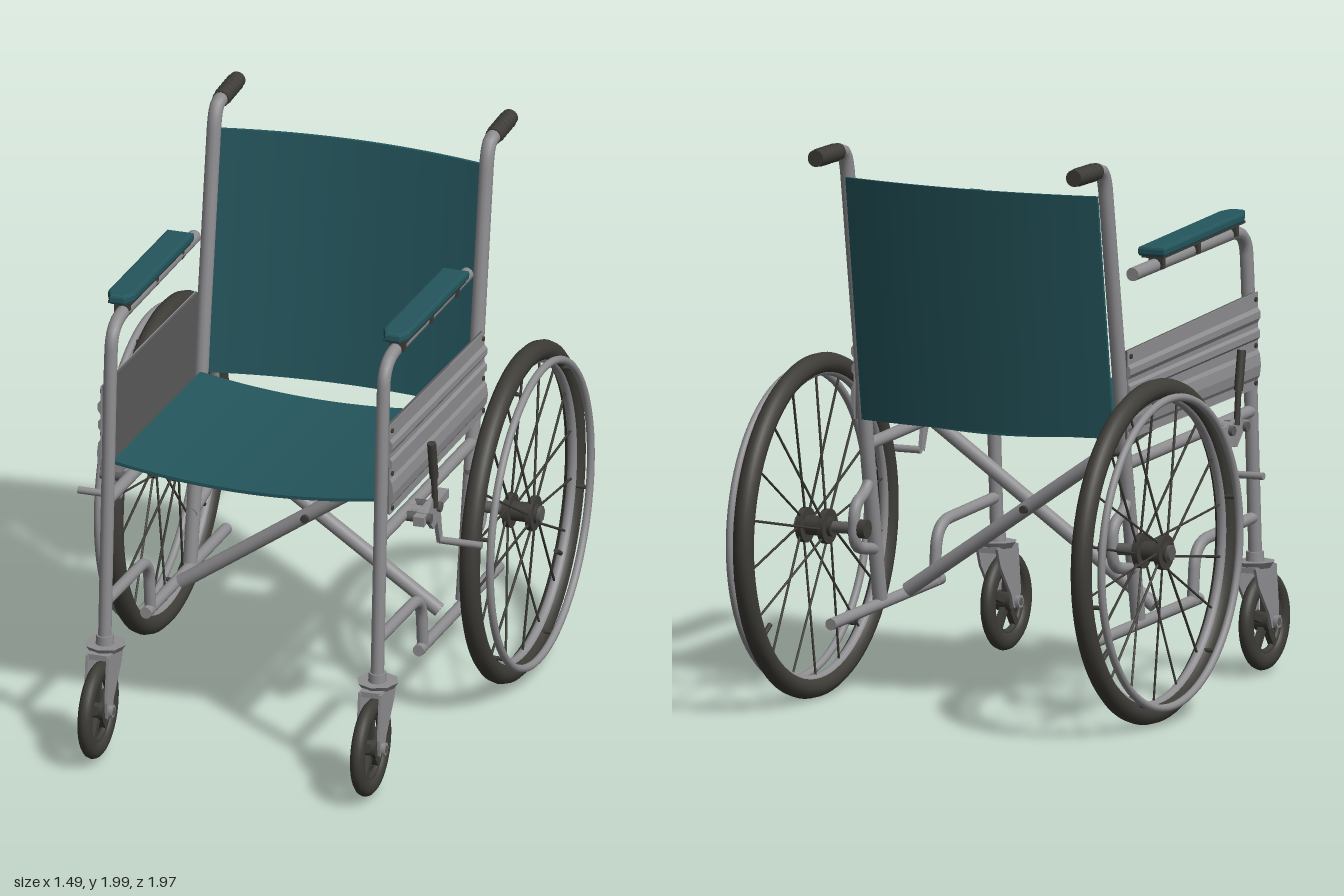
import * as THREE from 'three';

const mat = (name, color) => Object.assign(new THREE.MeshStandardMaterial({ color }), { name });

export function createModel() {
  const root = new THREE.Group();
  root.name = 'wheelchair';
  const fabric = mat('teal upholstery', 0x24565d);
  const metal = mat('grey metal', 0x8e8d90);
  const rubber = mat('dark rubber', 0x3d3c37);
  const lining = mat('dark grey lining', 0x5c5c5c);
  const V = (x, y, z) => new THREE.Vector3(x, y, z);

  const add = (parent, name, geo, material, x = 0, y = 0, z = 0) => {
    const m = new THREE.Mesh(geo, material);
    m.name = name;
    m.position.set(x, y, z);
    parent.add(m);
    return m;
  };
  const group = (name, x = 0, y = 0, z = 0) => {
    const g = new THREE.Group();
    g.name = name;
    g.position.set(x, y, z);
    root.add(g);
    return g;
  };
  // Straight capped rod between two points
  const rod = (parent, name, a, b, r, material, sides = 14) => {
    const m = add(parent, name, new THREE.CylinderGeometry(r, r, a.distanceTo(b), sides), material);
    m.position.copy(a).lerp(b, 0.5);
    m.quaternion.setFromUnitVectors(V(0, 1, 0), b.clone().sub(a).normalize());
    return m;
  };
  // Tube in the side plane through [z, y] corners, with rounded bends
  const pipe = (parent, name, x, pts, r, bend, material) => {
    const p = pts.map(([z, y]) => V(x, y, z));
    const path = new THREE.CurvePath();
    let from = p[0];
    for (let i = 1; i < p.length - 1; i++) {
      const toward = (q) => p[i].clone().add(
        q.clone().sub(p[i]).setLength(Math.min(bend, q.distanceTo(p[i]) * 0.45)));
      const a = toward(p[i - 1]), b = toward(p[i + 1]);
      path.add(new THREE.LineCurve3(from, a));
      path.add(new THREE.QuadraticBezierCurve3(a, p[i], b));
      from = b;
    }
    path.add(new THREE.LineCurve3(from, p[p.length - 1]));
    add(parent, name, new THREE.TubeGeometry(path, 72, r, 12), material);
    const end = p[p.length - 1], dir = end.clone().sub(from).setLength(0.006);
    rod(parent, name + 'End', end.clone().sub(dir), end.clone().add(dir), r, material);
  };
  // Flat plate with a [z, y] outline, centred on its own x
  const plate = (pts, depth) => {
    const shape = new THREE.Shape(pts.map(([z, y]) => new THREE.Vector2(z, y)));
    return new THREE.ExtrudeGeometry(shape, { depth, bevelEnabled: false })
      .rotateY(-Math.PI / 2).translate(depth / 2, 0, 0);
  };
  const ring = (R, r, seg = 64) => new THREE.TorusGeometry(R, r, 12, seg).rotateY(Math.PI / 2);
  const disc = (r, w, sides = 24) => new THREE.CylinderGeometry(r, r, w, sides).rotateZ(Math.PI / 2);
  // Thin cloth sheet, bent by a rule (u: -1..1 across, v: 0..1 along, t: thickness)
  const sheet = (name, rule) => {
    const geo = new THREE.BoxGeometry(2, 1, 0.012, 20, 4, 1);
    const pos = geo.attributes.position;
    for (let i = 0; i < pos.count; i++) {
      pos.setXYZ(i, ...rule(pos.getX(i), pos.getY(i) + 0.5, pos.getZ(i)));
    }
    geo.computeVertexNormals();
    add(root, name, geo, fabric);
  };

  // Slung seat and backrest
  sheet('seat', (u, v, t) => [u * 0.5, 1.075 - 0.055 * v - 0.045 * (1 - u * u) + t, 0.665 - 0.945 * v]);
  sheet('backrest', (u, v, t) =>
    [u * 0.49, 1.0 + 0.875 * v, -0.345 - 0.13 * v - 0.055 * (1 - u * u) + t]);

  // Folding cross brace
  const brace = group('crossBrace');
  rod(brace, 'braceFront', V(-0.467, 0.355, 0.025), V(0.48, 1.01, 0.025), 0.026, metal);
  rod(brace, 'braceRear', V(0.467, 0.355, -0.035), V(-0.48, 1.01, -0.035), 0.026, metal);
  rod(brace, 'bracePivot', V(0, 0.675, -0.075), V(0, 0.675, 0.065), 0.014, rubber);

  const X = 0.503;
  for (const s of [1, -1]) {
    const side = s > 0 ? 'left' : 'right';
    const x = s * X;

    // Side frame
    const frame = group(side + 'Frame');
    pipe(frame, 'backPost', x, [[-0.18, 0.34], [-0.285, 0.9], [-0.325, 1.2], [-0.45, 1.97], [-0.54, 1.97]],
      0.026, 0.09, metal);
    pipe(frame, 'frontPostAndArm', x, [[0.745, 0.4], [0.685, 1.4], [0.665, 1.605], [-0.22, 1.565]],
      0.024, 0.13, metal);
    pipe(frame, 'lowerFrontTube', x, [[0.72, 0.57], [0.27, 0.545], [0.25, 0.34]], 0.021, 0.1, metal);
    pipe(frame, 'axleBracket', x, [[-0.25, 0.82], [-0.28, 0.74], [-0.385, 0.7], [-0.385, 0.55], [-0.2, 0.52]],
      0.021, 0.06, metal);
    rod(frame, 'bottomRail', V(x, 0.345, 0.3), V(x, 0.305, -0.57), 0.021, metal);
    rod(frame, 'middleRail', V(x, 0.95, 0.71), V(x, 0.9, -0.28), 0.022, metal);
    rod(frame, 'seatRail', V(s * 0.48, 1.055, 0.66), V(s * 0.48, 1.0, -0.27), 0.018, metal);
    rod(frame, 'handGrip', V(x, 1.97, -0.51), V(x, 1.97, -0.69), 0.03, rubber, 18);
    for (let i = 0; i < 5; i++) {
      add(frame, 'gripRib', new THREE.TorusGeometry(0.028, 0.005, 6, 18), rubber, x, 1.97, -0.54 - i * 0.03);
    }

    // Ribbed side panel with a lining and rivets
    const panel = group(side + 'SidePanel');
    const bottom = (z) => 1.008 + 0.039 * z, top = (z) => 1.33 + 0.064 * z;
    const profile = [[0.53, 0], [0.534, 0], [0.534, 0.09], [0.542, 0.13], [0.547, 0.24], [0.542, 0.36],
      [0.534, 0.4], [0.534, 0.5], [0.543, 0.53], [0.543, 0.6], [0.534, 0.63], [0.534, 0.68],
      [0.544, 0.73], [0.544, 0.8], [0.534, 0.84], [0.534, 1], [0.53, 1]];
    const ribs = new THREE.ExtrudeGeometry(
      new THREE.Shape(profile.map(([px, v]) => new THREE.Vector2(s * px, v))),
      { depth: 1.025, bevelEnabled: false }).translate(0, 0, -0.325);
    const pos = ribs.attributes.position;
    for (let i = 0; i < pos.count; i++) {
      const z = pos.getZ(i);
      pos.setY(i, THREE.MathUtils.lerp(bottom(z), top(z), pos.getY(i)));
    }
    ribs.computeVertexNormals();
    add(panel, 'ribbedPanel', ribs, metal);
    add(panel, 'panelLining', plate([[0.69, bottom(0.69)], [0.69, top(0.69)],
      [-0.32, top(-0.32)], [-0.32, bottom(-0.32)]], 0.008), lining, s * 0.525);
    for (const z of [0.68, -0.305]) for (const v of [0.06, 0.45, 0.93]) {
      add(panel, 'rivet', disc(0.009, 0.012, 8), rubber, s * 0.534,
        THREE.MathUtils.lerp(bottom(z), top(z), v), z);
    }

    // Padded armrest
    const arm = group(side + 'Armrest', s * 0.508, 1.642, 0.255);
    arm.rotation.x = -0.055;
    const plan = new THREE.Shape([[-0.04, -0.335], [0.04, -0.335], [0.04, 0.29], [0.02, 0.335],
      [-0.02, 0.335], [-0.04, 0.29]].map(([a, b]) => new THREE.Vector2(a, b)));
    add(arm, 'armPad', new THREE.ExtrudeGeometry(plan,
      { depth: 0.016, bevelThickness: 0.01, bevelSize: 0.01, bevelSegments: 2 })
      .rotateX(Math.PI / 2), fabric, 0, 0.01, 0);
    add(arm, 'armPadBase', new THREE.BoxGeometry(0.085, 0.008, 0.65), rubber, 0, -0.018, -0.01);
    for (const z of [0.28, -0.02, -0.3]) {
      add(arm, 'armClip', new THREE.BoxGeometry(0.056, 0.05, 0.022), rubber, 0, -0.04, z);
    }

    // Large rear wheel with hand rim
    const wheel = group(side + 'RearWheel', s * 0.658, 0.617, -0.373);
    add(wheel, 'tyre', ring(0.571, 0.037, 80), rubber);
    add(wheel, 'rim', ring(0.545, 0.019, 80), metal);
    add(wheel, 'handRim', ring(0.545, 0.014, 80), metal, s * 0.066);
    add(wheel, 'hub', disc(0.035, 0.13), rubber, s * -0.005);
    for (const o of [-0.045, 0.04]) add(wheel, 'hubFlange', disc(0.062, 0.022), rubber, s * o);
    add(wheel, 'hubCap', disc(0.03, 0.03, 6), lining, s * 0.058);
    for (let i = 0; i < 18; i++) {
      const a = (i / 18) * Math.PI * 2, b = a + (i % 2 ? 0.25 : -0.25);
      rod(wheel, 'spoke', V(s * (i % 2 ? 0.04 : -0.045), 0.05 * Math.cos(b), 0.05 * Math.sin(b)),
        V(0, 0.535 * Math.cos(a), 0.535 * Math.sin(a)), 0.0045, rubber, 6);
    }
    for (let i = 0; i < 6; i++) {
      const a = (i / 6) * Math.PI * 2 + 0.3, y = 0.545 * Math.cos(a), z = 0.545 * Math.sin(a);
      rod(wheel, 'rimStandoff', V(0, y, z), V(s * 0.066, y, z), 0.008, rubber, 8);
    }
    rod(wheel, 'valve', V(0, -0.33, -0.41), V(0, -0.3, -0.36), 0.009, rubber, 8);
    add(wheel, 'axle', disc(0.021, 0.16), lining, s * -0.11);
    add(wheel, 'axleNut', disc(0.034, 0.028, 12), rubber, s * -0.188);

    // Front caster
    const caster = group(side + 'Caster', x, 0.193, 0.815);
    add(caster, 'casterTyre', ring(0.143, 0.032, 40), rubber).scale.x = 0.8;
    add(caster, 'casterRim', ring(0.112, 0.012, 40), rubber);
    add(caster, 'casterHub', disc(0.036, 0.056), rubber);
    add(caster, 'casterAxle', disc(0.014, 0.12, 10), lining);
    for (const o of [-0.05, 0.05]) add(caster, 'casterNut', disc(0.024, 0.016, 6), metal, o);
    for (let i = 0; i < 5; i++) {
      const a = (i / 5) * Math.PI * 2;
      add(caster, 'casterSpoke', new THREE.BoxGeometry(0.022, 0.085, 0.028), rubber,
        0, 0.07 * Math.cos(a), 0.07 * Math.sin(a)).rotation.x = a;
    }
    const cheek = [[0.01, 0.205], [-0.155, 0.205], [-0.13, 0.14], [-0.045, 0.03], [-0.025, -0.02],
      [0.022, -0.02], [0.03, 0.04]];
    for (const o of [-0.038, 0.038]) add(caster, 'forkCheek', plate(cheek, 0.01), metal, o);
    add(caster, 'forkCrown', new THREE.BoxGeometry(0.08, 0.02, 0.15), metal, 0, 0.198, -0.072);
    add(caster, 'forkFlange', new THREE.CylinderGeometry(0.075, 0.06, 0.022, 8), metal, 0, 0.212, -0.078);
    add(caster, 'forkStem', new THREE.CylinderGeometry(0.031, 0.033, 0.04, 16), metal, 0, 0.236, -0.074);

    // Parking brake
    const brake = group(side + 'Brake');
    add(brake, 'brakePlate', plate([[0.48, 0.945], [0.42, 0.99], [0.37, 0.955], [0.33, 0.9], [0.31, 0.79],
      [0.335, 0.785], [0.37, 0.88], [0.41, 0.87], [0.45, 0.91]], 0.014), metal, s * 0.59);
    add(brake, 'brakeMount', new THREE.BoxGeometry(0.04, 0.035, 0.27), metal, s * 0.575, 0.935, 0.375);
    for (const z of [0.47, 0.36]) add(brake, 'brakeBolt', disc(0.018, 0.1, 12), lining, s * 0.56, 0.935, z);
    rod(brake, 'brakeClamp', V(x, 0.935, 0.42), V(s * 0.59, 0.935, 0.42), 0.022, metal);
    rod(brake, 'brakeBar', V(s * 0.59, 0.79, 0.32), V(s * 0.745, 0.79, 0.32), 0.013, metal);
    rod(brake, 'brakeLever', V(s * 0.6, 0.95, 0.4), V(s * 0.6, 1.08, 0.415), 0.011, rubber, 10);
    rod(brake, 'brakeLeverGrip', V(s * 0.6, 1.07, 0.414), V(s * 0.6, 1.21, 0.44), 0.016, rubber, 10);
  }
  return root;
}
